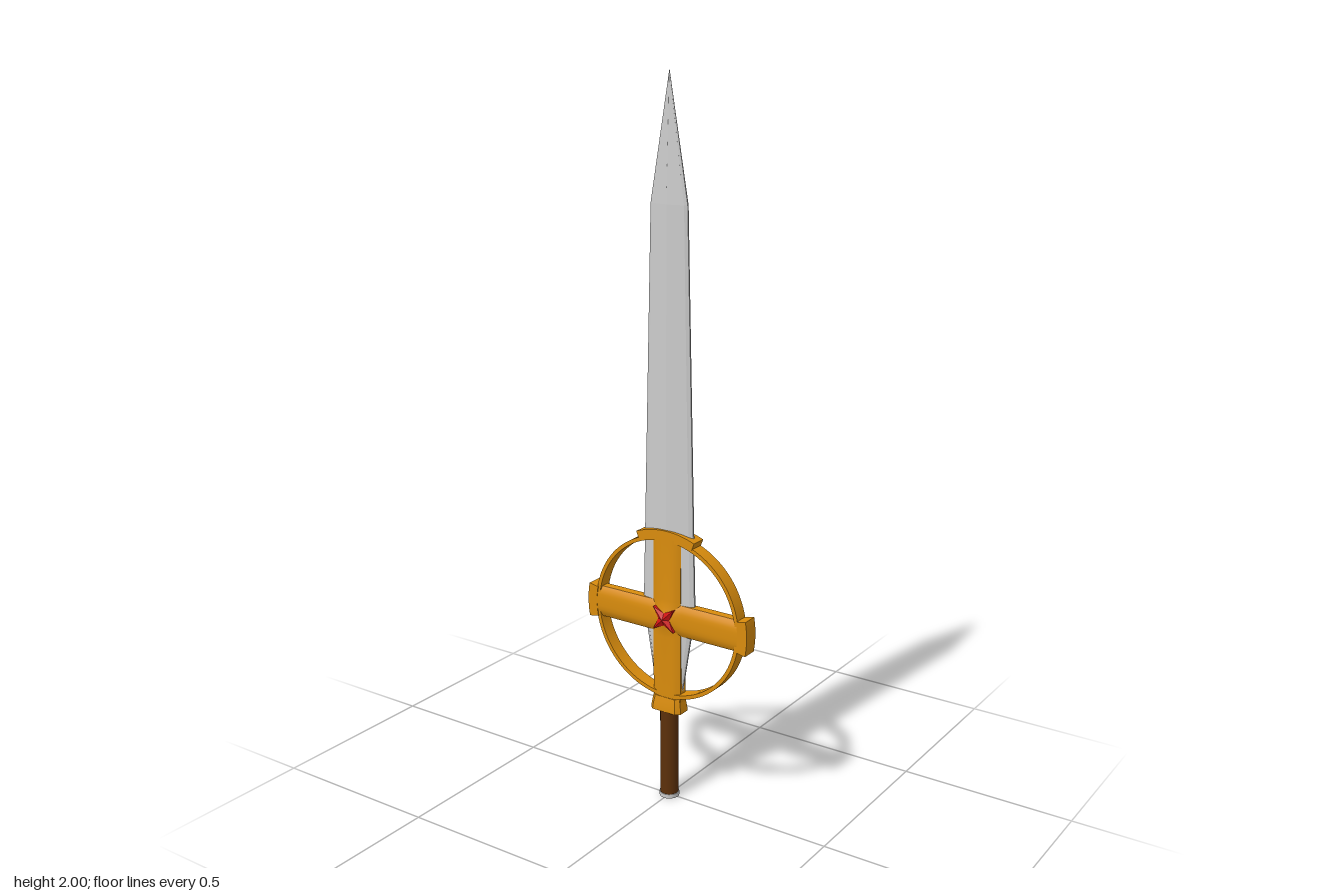
import * as THREE from 'three';
import { toCreasedNormals } from 'three/addons/utils/BufferGeometryUtils.js';

const mat = (color) => new THREE.MeshStandardMaterial({ color });
const CENTRE = 0.545; // height of the guard's centre

// Skins a list of equal-length rings stacked along +y, closing both ends.
function loft(sections, crease) {
  const n = sections[0].length, last = (sections.length - 1) * n, index = [];
  for (let s = 0; s < sections.length - 1; s++) {
    for (let i = 0; i < n; i++) {
      const a = s * n + i, b = s * n + (i + 1) % n;
      index.push(a, b, b + n, a, b + n, a + n);
    }
  }
  for (let i = 1; i < n - 1; i++) {
    index.push(0, i + 1, i, last, last + i, last + i + 1);
  }
  const g = new THREE.BufferGeometry();
  g.setAttribute('position', new THREE.Float32BufferAttribute(sections.flat(2), 3));
  g.setIndex(index);
  return toCreasedNormals(g, crease);
}

// Curved band of the guard, extruded evenly to both sides of z = 0.
function band(shape, halfDepth) {
  const g = new THREE.ExtrudeGeometry(shape, { depth: halfDepth * 2, bevelEnabled: false, curveSegments: 64 });
  return toCreasedNormals(g.translate(0, 0, -halfDepth), 0.6);
}

function arcCap(angle, spread, inner, outer, halfDepth) {
  const s = new THREE.Shape();
  s.absarc(0, 0, outer, angle - spread, angle + spread, false);
  s.absarc(0, 0, inner, angle + spread, angle - spread, true);
  return band(s, halfDepth);
}

// Cross bar with a softly crowned face that swells towards the middle.
function bar(from, to) {
  const half = 0.045, steps = 8, sections = [];
  const stops = [from, -0.055, -0.04, -0.027, -0.013, 0, 0.013, 0.027, 0.04, 0.055, to];
  for (const y of stops) {
    const front = [];
    for (let i = 0; i <= steps; i++) {
      const u = (i / steps) * 2 - 1;
      const swell = Math.max(0, 1 - Math.hypot(u * half, y) / 0.055);
      front.push([u * half, y, 0.022 - 0.01 * u ** 4 + 0.011 * swell ** 1.5]);
    }
    sections.push([...front, ...front.map(([x, h, z]) => [-x, h, -z])]);
  }
  return loft(sections, 0.6);
}

// Blade cross-section: central ridge, broad faces and narrow bevelled edges.
function bladeSection(y, w, t) {
  return [[0, y, t], [w * 0.86, y, t * 0.5], [w, y, t * 0.15], [w, y, -t * 0.15], [w * 0.86, y, -t * 0.5],
    [0, y, -t], [-w * 0.86, y, -t * 0.5], [-w, y, -t * 0.15], [-w, y, t * 0.15], [-w * 0.86, y, t * 0.5]];
}

// Four-pointed star stone with a raised centre.
function gemGeometry() {
  const star = (scale, z) => Array.from({ length: 8 }, (_, i) => {
    const a = (i * Math.PI) / 4, point = i % 2;
    const r = (point ? 0.046 : 0.018) * scale;
    return [Math.cos(a) * r, -z + (point ? 0.004 : 0) * scale, Math.sin(a) * r];
  });
  // Rings run from the apex down to the base, then the stack is turned to face +z.
  const rings = [star(1, -0.0), star(1, -0.028), star(0.45, -0.033), star(0.02, -0.038)];
  const g = loft(rings.map((r) => r.reverse()), 0.2);
  return g.rotateX(Math.PI / 2);
}

export function createModel() {
  const model = new THREE.Group();
  const steel = mat(0xcccccc), gold = mat(0xd98c0d), wood = mat(0x5c300a), red = mat(0xd01414);
  const add = (parent, name, geometry, material) => {
    const m = new THREE.Mesh(geometry, material);
    m.name = name;
    parent.add(m);
    return m;
  };

  // Blade, narrowing below the guard and pointed at the top
  add(model, 'blade', loft([
    bladeSection(0.29, 0.038, 0.014),
    bladeSection(0.57, 0.084, 0.017),
    bladeSection(1.67, 0.057, 0.014),
    bladeSection(2, 0.0005, 0.0005),
  ], 0.02), steel);

  // Guard: ring, crossed bars and curved end caps
  const guard = new THREE.Group();
  guard.name = 'guard';
  guard.position.y = CENTRE;
  model.add(guard);

  const ring = new THREE.Shape().absarc(0, 0, 0.235, 0, Math.PI * 2, false);
  ring.holes.push(new THREE.Path().absarc(0, 0, 0.224, 0, Math.PI * 2, true));
  add(guard, 'guardRing', band(ring, 0.02), gold);
  add(guard, 'verticalBar', bar(-0.26, 0.24), gold);
  add(guard, 'horizontalBar', bar(-0.245, 0.245).rotateZ(Math.PI / 2), gold);
  add(guard, 'topCap', arcCap(Math.PI / 2, 0.38, 0.233, 0.254, 0.0225), gold);
  add(guard, 'leftCap', arcCap(0, 0.19, 0.232, 0.262, 0.0225), gold);
  add(guard, 'rightCap', arcCap(Math.PI, 0.19, 0.232, 0.262, 0.0225), gold);

  // Flared collar joining guard and grip
  const collar = [[-0.277, 0.05, 0.029], [-0.262, 0.048, 0.028], [-0.235, 0.043, 0.023]];
  add(guard, 'collar', loft(collar.map(([y, w, d]) => [
    [w * 0.75, y, d], [w, y, d * 0.6], [w, y, -d * 0.6], [w * 0.75, y, -d],
    [-w * 0.75, y, -d], [-w, y, -d * 0.6], [-w, y, d * 0.6], [-w * 0.75, y, d],
  ]), 0.5), gold);

  // Star stones on both faces
  for (const [name, turn] of [['frontGem', 0], ['backGem', Math.PI]]) {
    add(guard, name, gemGeometry(), red).rotation.y = turn;
  }

  // Grip and pommel
  add(model, 'grip', new THREE.CylinderGeometry(0.026, 0.026, 0.265, 24), wood).position.y = 0.1425;
  add(model, 'pommel', new THREE.CylinderGeometry(0.028, 0.028, 0.012, 24), steel).position.y = 0.006;
  return model;
}
